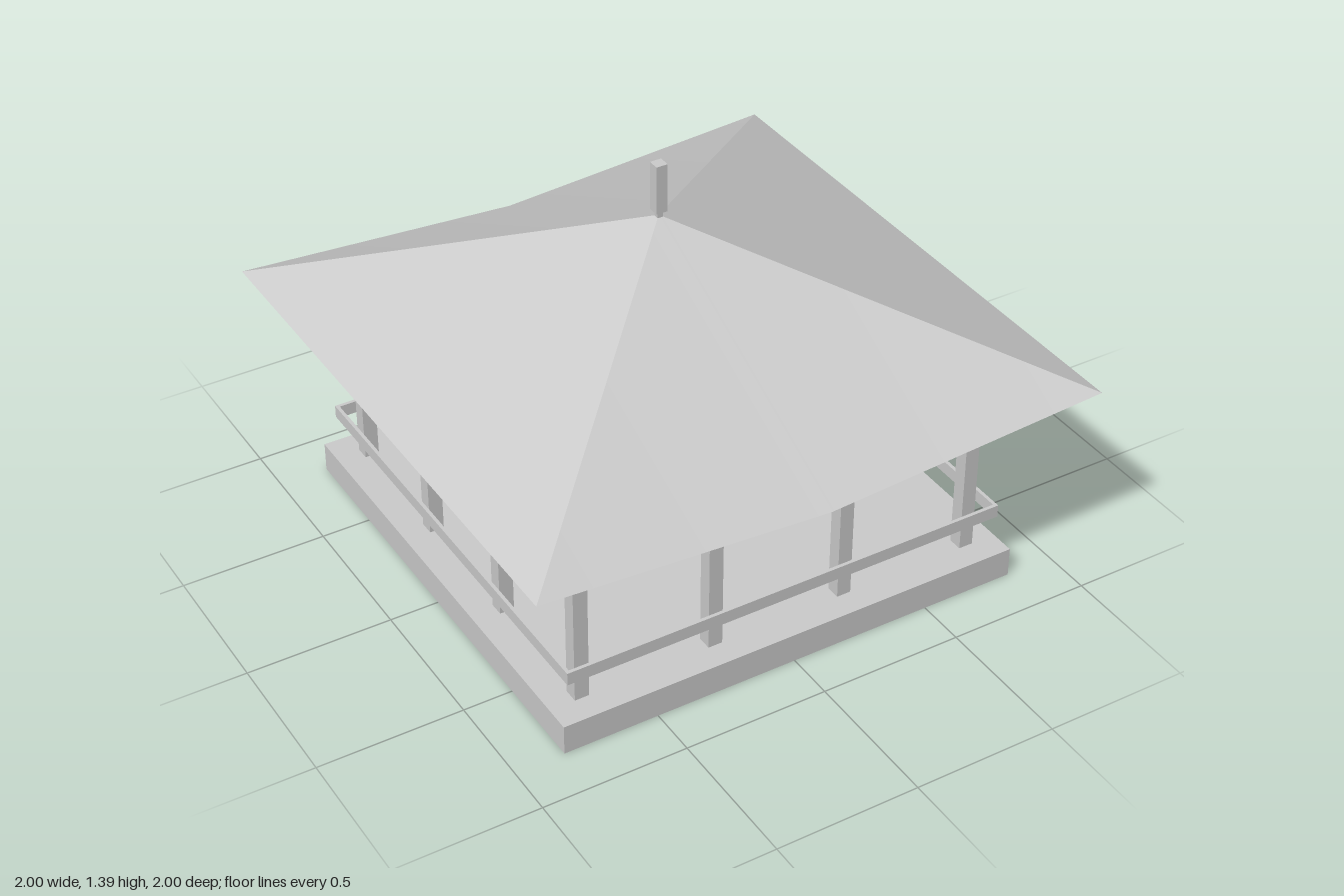
import * as THREE from 'three';

const mat = new THREE.MeshStandardMaterial({ color: 0xcccccc });
const thin = new THREE.MeshStandardMaterial({ color: 0xcccccc, side: THREE.DoubleSide });
const faceted = new THREE.MeshStandardMaterial({ color: 0xcccccc, flatShading: true });

export function createModel() {
  const model = new THREE.Group();
  model.name = 'pavilion';

  const add = (name, geometry, x, y, z, material = mat, parent = model) => {
    const mesh = new THREE.Mesh(geometry, material);
    mesh.name = name;
    mesh.position.set(x, y, z);
    parent.add(mesh);
    return mesh;
  };
  // box given by its lowest y and its height
  const box = (name, w, h, d, x, y, z, parent) =>
    add(name, new THREE.BoxGeometry(w, h, d), x, y + h / 2, z, mat, parent);
  const group = (name) => {
    const g = new THREE.Group();
    g.name = name;
    model.add(g);
    return g;
  };

  // floor slab and the step at the back entrance
  box('floor', 1.66, 0.105, 1.66, 0, 0, 0);
  box('step', 0.43, 0.07, 0.11, 0, 0, -0.885);

  // twelve posts around the edge, four to a side
  const posts = group('posts');
  const spots = [-0.717, -0.24, 0.24, 0.717];
  for (const x of spots) for (const z of spots) {
    if (Math.abs(x) < 0.5 && Math.abs(z) < 0.5) continue;
    box('post', 0.05, 0.64, 0.05, x, 0.105, z, posts);
  }

  // railing outside the posts, open at the back entrance
  const railing = group('railing');
  const R = 0.795, T = 0.012, gap = 0.21;
  box('frontRail', 2 * R, 0.045, T, 0, 0.23, R - T / 2, railing);
  for (const s of [-1, 1]) {
    box('sideRail', T, 0.045, 2 * R - 2 * T, s * (R - T / 2), 0.23, 0, railing);
    box('backRail', R - gap, 0.045, T, s * (R + gap) / 2, 0.23, -R + T / 2, railing);
    // small plates beside the entrance
    add('entrancePlate', new THREE.PlaneGeometry(0.04, 0.08), s * 0.22, 0.342, -R + T / 2, thin, railing);
  }

  // flat ceiling on top of the posts
  add('ceiling', new THREE.PlaneGeometry(1.48, 1.48).rotateX(Math.PI / 2), 0, 0.745, 0, thin);

  // thin hipped roof: front and back eaves sag in the middle, side eaves are straight
  const roof = group('roof');
  const apex = 1.205, eave = 0.77, sag = 0.705;
  for (let i = 0; i < 4; i++) {
    const mid = i % 2 ? eave : sag;
    const panel = new THREE.BufferGeometry();
    panel.setAttribute('position', new THREE.Float32BufferAttribute(
      [0, apex, 0, -1, eave, 1, 0, mid, 1, 1, eave, 1], 3));
    panel.setIndex([0, 1, 2, 0, 2, 3]);
    panel.computeVertexNormals();
    panel.rotateY(i * Math.PI / 2);
    add('roofPanel', panel, 0, 0, 0, thin, roof);
  }

  // finial on a narrow neck
  box('finialNeck', 0.02, 0.035, 0.02, 0, 1.19, 0);
  box('finial', 0.04, 0.17, 0.04, 0, 1.222, 0);

  // five-sided hanging lantern
  const profile = [[0, 0.43], [0.043, 0.43], [0.067, 0.503], [0.043, 0.576], [0, 0.576]]
    .map(([r, y]) => new THREE.Vector2(r, y));
  add('lantern', new THREE.LatheGeometry(profile, 5, Math.PI / 2), 0, 0, 0, faceted);

  return model;
}
